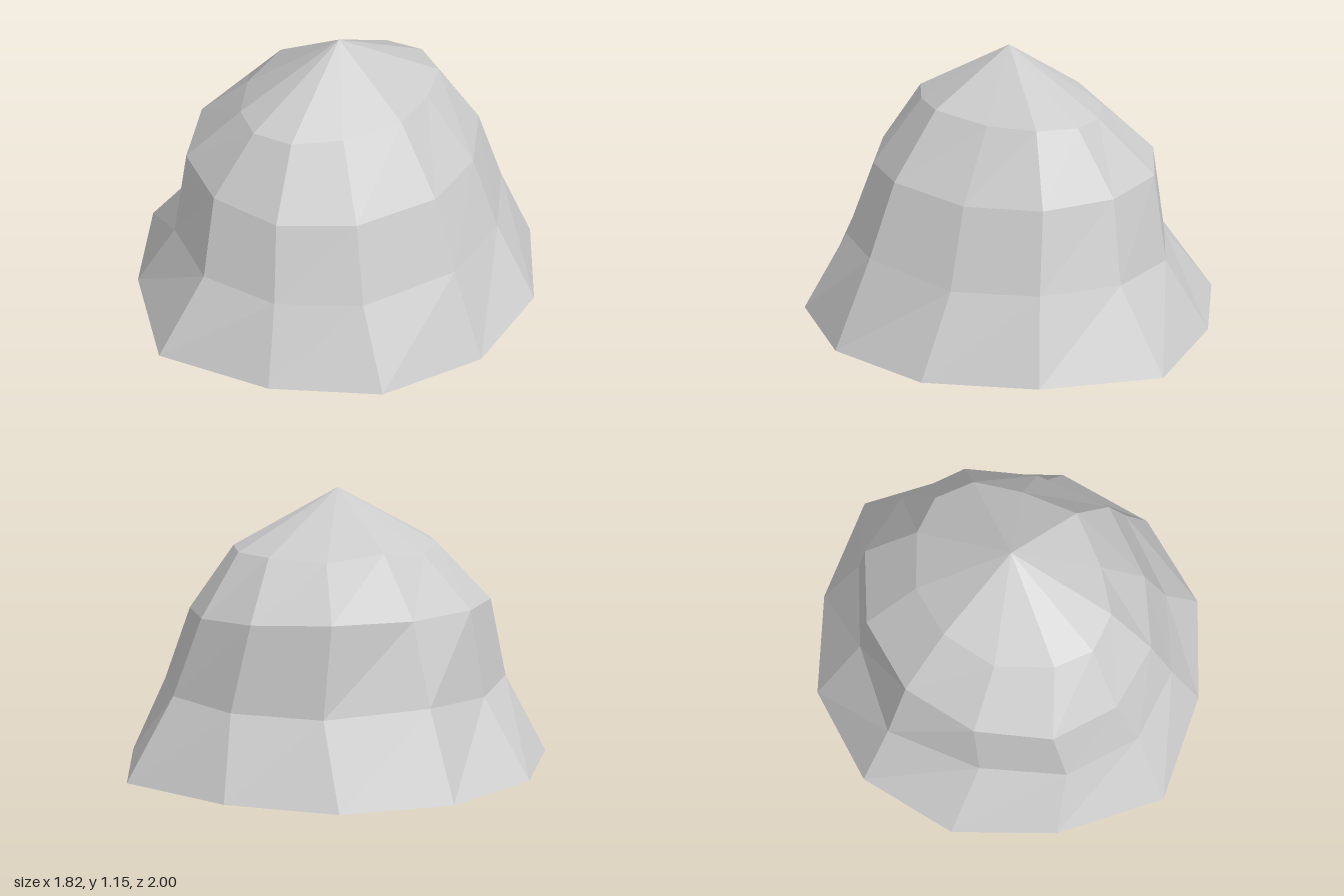
import * as THREE from 'three';

// Half cross-sections, bottom to top, running from +x round the front to -x: [x, y, z]
const HALF_RINGS = [
  [[0.91, 0, 0], [0.79, 0, 0.45], [0.455, 0, 0.78], [0, 0, 1], [-0.455, 0, 0.78], [-0.79, 0, 0.45], [-0.91, 0, 0]],
  [[0.73, 0.365, 0], [0.6, 0.32, 0.39], [0.36, 0.33, 0.66], [0.035, 0.33, 0.77], [-0.3, 0.32, 0.67], [-0.55, 0.31, 0.385], [-0.73, 0.35, 0]],
  [[0.6, 0.67, 0], [0.49, 0.64, 0.33], [0.28, 0.645, 0.575], [-0.015, 0.655, 0.66], [-0.305, 0.67, 0.58], [-0.52, 0.68, 0.33], [-0.6, 0.68, 0]],
  [[0.39, 0.94, 0], [0.3, 0.915, 0.235], [0.185, 0.915, 0.41], [0.02, 0.91, 0.47], [-0.14, 0.905, 0.41], [-0.31, 0.89, 0.235], [-0.37, 0.92, 0]],
];
const APEX = [0.01, 1.155, 0];

// Close a half ring by mirroring its inner points to the back
const closeRing = (half) => [
  ...half,
  ...half.slice(1, -1).reverse().map(([x, y, z]) => [x, y, -z]),
];

export function createModel() {
  const group = new THREE.Group();
  group.name = 'rock';
  const material = new THREE.MeshStandardMaterial({ color: 0xcccccc, flatShading: true });

  const addMesh = (name, positions) => {
    const geometry = new THREE.BufferGeometry();
    geometry.setAttribute('position', new THREE.Float32BufferAttribute(positions, 3));
    geometry.computeVertexNormals();
    const mesh = new THREE.Mesh(geometry, material);
    mesh.name = name;
    group.add(mesh);
  };

  const rings = HALF_RINGS.map(closeRing);
  const count = rings[0].length;
  const sides = [], cap = [], base = [];

  for (let i = 0; i < count; i++) {
    const j = (i + 1) % count;
    // Faceted bands between neighbouring rings
    for (let r = 0; r < rings.length - 1; r++) {
      const low = rings[r], high = rings[r + 1];
      sides.push(...low[i], ...high[i], ...low[j]);
      sides.push(...low[j], ...high[i], ...high[j]);
    }
    // Peak fan and flat underside
    const top = rings[rings.length - 1];
    cap.push(...top[i], ...APEX, ...top[j]);
    base.push(0, 0, 0, ...rings[0][i], ...rings[0][j]);
  }

  addMesh('sides', sides);
  addMesh('peak', cap);
  addMesh('underside', base);
  return group;
}
